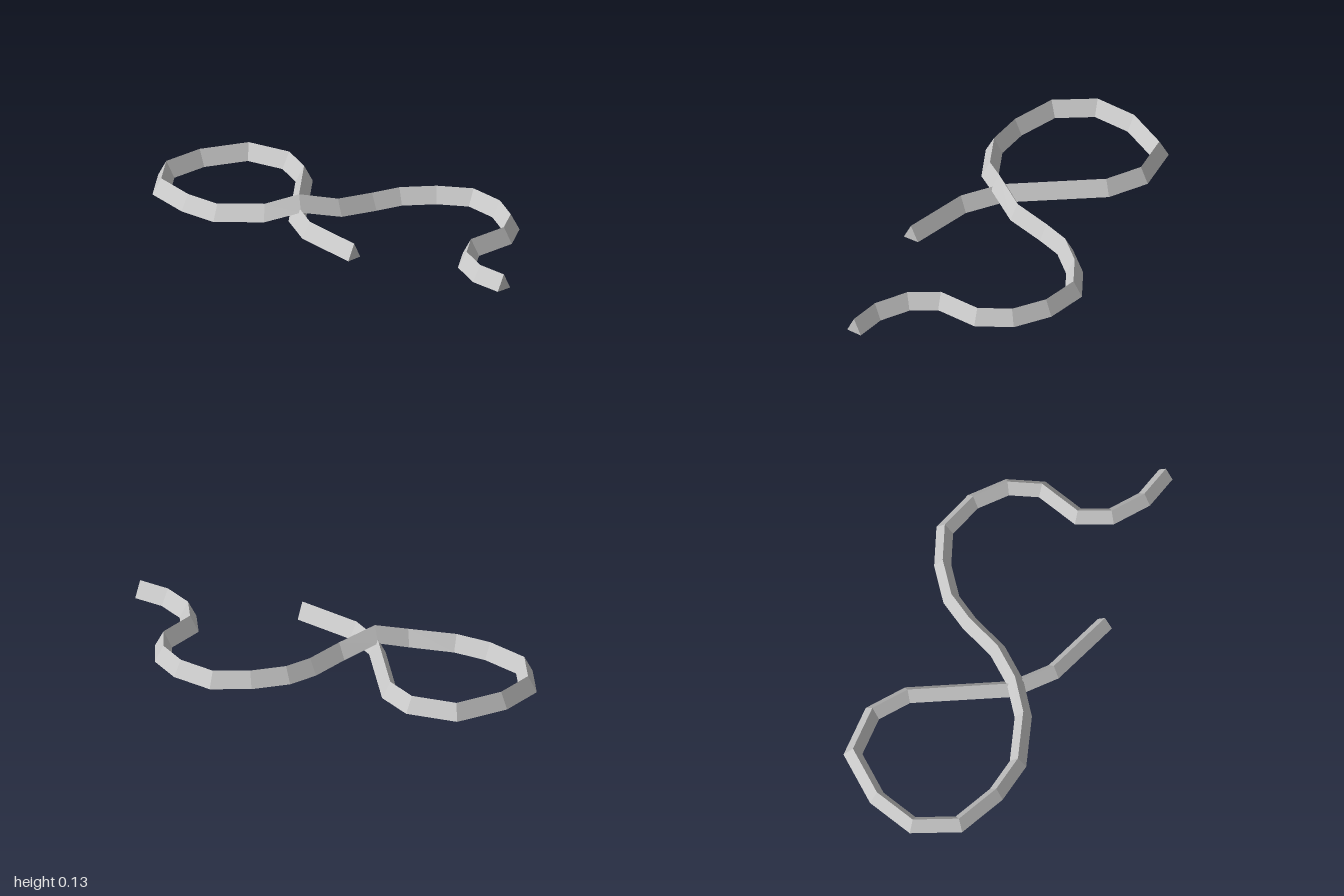
import * as THREE from 'three';

// Centre line of the rope: x, z and lift of its base off the ground
const PATH = [
  [-0.37, 0.28, 0], [-0.32, -0.03, 0], [-0.222, -0.2, 0], [0.13, -0.49, 0],
  [0.204, -0.648, 0], [0.162, -0.85, 0], [-0.04, -0.952, 0], [-0.24, -0.963, 0],
  [-0.4, -0.842, 0], [-0.45, -0.635, 0], [-0.444, -0.466, 0], [-0.34, -0.283, 0.02],
  [-0.225, -0.185, 0.058], [-0.07, -0.1, 0.015], [0.108, -0.064, 0], [0.235, -0.021, 0],
  [0.358, 0.085, 0], [0.446, 0.222, 0], [0.424, 0.4, 0], [0.342, 0.542, 0],
  [0.214, 0.622, 0], [0.016, 0.612, 0], [-0.103, 0.698, 0], [-0.172, 0.845, 0],
  [-0.18, 0.993, 0],
];
const HALF_WIDTH = 0.037;
const HEIGHT = 0.072;

// Triangular section swept along the path with mitred corners and closed ends
function sweepTriangle(path) {
  const last = path.length - 1;
  const dir = (i) => new THREE.Vector2(
    path[i + 1][0] - path[i][0], path[i + 1][1] - path[i][1]).normalize();
  const positions = [];
  const index = [];
  path.forEach(([x, z, y], i) => {
    const before = dir(Math.max(i - 1, 0));
    const after = dir(Math.min(i, last - 1));
    const t = before.clone().add(after).normalize();
    // The first end is cut square to z
    if (i === 0) t.set(0, -1);
    const w = HALF_WIDTH / t.dot(after);
    const nx = -t.y * w;
    const nz = t.x * w;
    positions.push(x + nx, y, z + nz, x - nx, y, z - nz, x, y + HEIGHT, z);
    if (i === last) return;
    for (let j = 0; j < 3; j++) {
      const a = i * 3 + j;
      const b = i * 3 + (j + 1) % 3;
      index.push(a, b, b + 3, a, b + 3, a + 3);
    }
  });
  const e = last * 3;
  index.push(0, 2, 1, e, e + 1, e + 2);
  const geometry = new THREE.BufferGeometry();
  geometry.setAttribute('position', new THREE.Float32BufferAttribute(positions, 3));
  geometry.setIndex(index);
  const flat = geometry.toNonIndexed();
  flat.computeVertexNormals();
  return flat;
}

export function createModel() {
  const group = new THREE.Group();
  group.name = 'loopedRope';
  const material = new THREE.MeshStandardMaterial({ color: 0xcccccc, flatShading: true });
  const rope = new THREE.Mesh(sweepTriangle(PATH), material);
  rope.name = 'rope';
  group.add(rope);
  return group;
}
